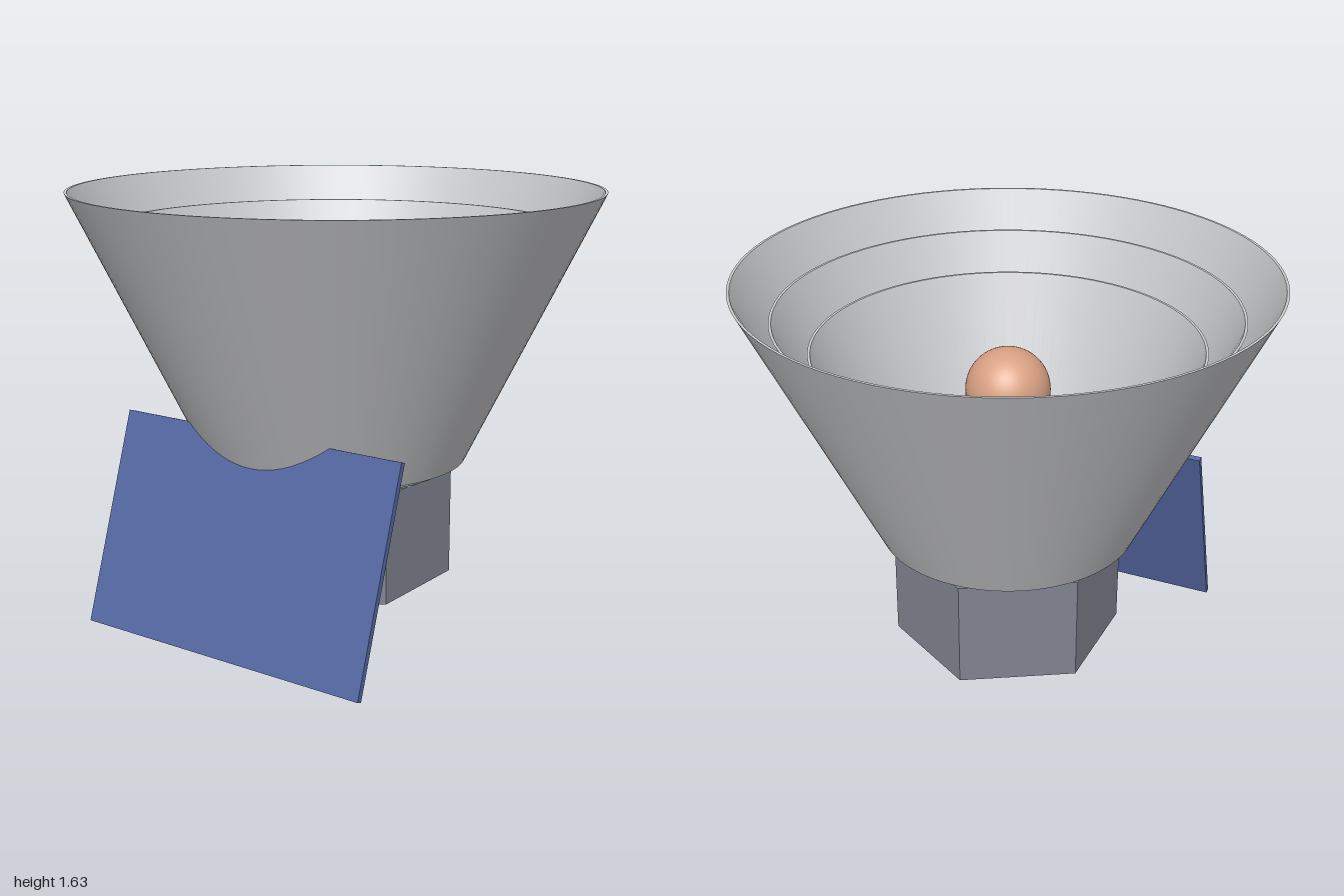
import * as THREE from 'three';
import { toCreasedNormals } from 'three/addons/utils/BufferGeometryUtils.js';

const material = (name, color, extra = {}) => {
  const m = new THREE.MeshStandardMaterial({ color, ...extra });
  m.name = name;
  return m;
};

export function createModel() {
  const model = new THREE.Group();
  model.name = 'hornFeed';
  const silver = material('silver', 0xc8c9cc);
  const steel = material('steelGrey', 0x80848f, { flatShading: true });
  const blue = material('panelBlue', 0x5468a2);
  const copper = material('copper', 0xd8a082);
  const dark = material('darkGrey', 0x484c54);

  const add = (name, geometry, mat, x = 0, y = 0, z = 0) => {
    const mesh = new THREE.Mesh(geometry, mat);
    mesh.name = name;
    mesh.position.set(x, y, z);
    model.add(mesh);
    return mesh;
  };

  // Three nested thin-walled open cones: bottom radius, bottom y, top radius, top y
  const wall = 0.01;
  const cones = [
    ['outerCone', 0.5, 0.605, 1.0, 1.63],
    ['middleCone', 0.45, 0.58, 0.865, 1.495],
    ['innerCone', 0.395, 0.553, 0.735, 1.36],
  ];
  for (const [name, r0, y0, r1, y1] of cones) {
    const profile = [[r0, y0], [r1, y1], [r1 - wall, y1], [r0 - wall, y0], [r0, y0]]
      .map(([r, y]) => new THREE.Vector2(r, y));
    add(name, toCreasedNormals(new THREE.LatheGeometry(profile, 96), 0.6), silver);
  }

  // Hexagonal base with corners on the x axis
  const hex = new THREE.CylinderGeometry(0.447, 0.447, 0.42, 6);
  hex.rotateY(Math.PI / 6);
  add('hexBase', hex, steel, 0, 0.345);

  // Central probe: collar, stem and ball tip
  add('collar', new THREE.CylinderGeometry(0.2, 0.2, 0.1, 48), dark, 0, 0.6);
  add('probeStem', new THREE.CylinderGeometry(0.175, 0.175, 0.5, 48), copper, 0, 0.87);
  add('probeTip', new THREE.SphereGeometry(0.16, 48, 32), copper, 0, 1.18);

  // Tilted side panel and its bracket
  const panel = add('sidePanel', new THREE.BoxGeometry(0.022, 0.82, 1.245), blue, -0.608, 0.393);
  panel.rotation.z = -Math.atan2(0.255, 0.78);
  add('panelBracket', new THREE.BoxGeometry(0.15, 0.05, 0.05), silver, -0.51, 0.37);

  return model;
}
